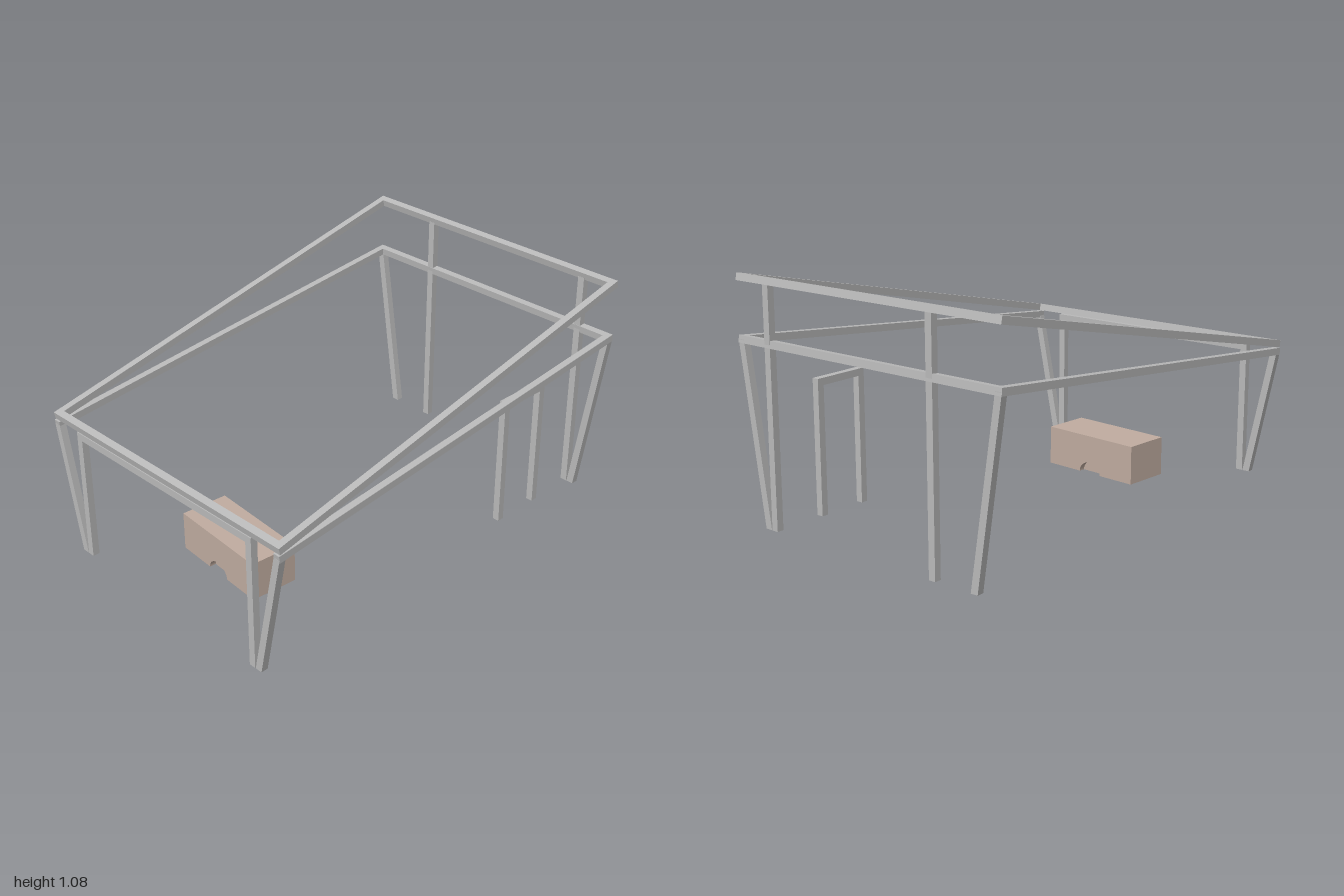
import * as THREE from 'three';

const T = 0.032; // beam thickness

export function createModel() {
  const model = new THREE.Group();
  const steel = new THREE.MeshStandardMaterial({ color: 0xb9b9b9 });
  steel.name = 'grey beam';
  const tan = new THREE.MeshStandardMaterial({ color: 0xc0aca0 });
  tan.name = 'tan box';

  const add = (name, geometry, material, parent = model) => {
    const mesh = new THREE.Mesh(geometry, material);
    mesh.name = name;
    parent.add(mesh);
    return mesh;
  };
  const outline = (pts) => new THREE.Shape(pts.map(([x, y]) => new THREE.Vector2(x, y)));
  // Extrusion centred on its own depth
  const slab = (shape, depth) =>
    new THREE.ExtrudeGeometry(shape, { depth, bevelEnabled: false, curveSegments: 16 }).translate(0, 0, -depth / 2);

  // Sloping roof frame: closed rectangle tilted up toward +x
  const W = 0.705, L = 1.02;
  const roof = outline([[-L, -W], [L, -W], [L, W], [-L, W]]);
  roof.holes.push(new THREE.Path([
    [-L + T, -W + T], [-L + T, W - T], [L - T, W - T], [L - T, -W + T],
  ].map(([x, y]) => new THREE.Vector2(x, y))));
  const roofFrame = add('roofFrame', slab(roof, T).rotateX(-Math.PI / 2), steel);
  roofFrame.position.y = 0.845;
  roofFrame.rotation.z = 0.213;

  // Lower frame: two side rails joined at the tall end only
  const l = 1.003;
  const rails = outline([[-l, -W], [l, -W], [l, W], [-l, W], [-l, W - T], [l - T, W - T], [l - T, -W + T], [-l, -W + T]]);
  const lowerFrame = add('lowerFrame', slab(rails, T).rotateX(-Math.PI / 2), steel);
  lowerFrame.position.y = 0.697;
  lowerFrame.rotation.z = 0.103;

  // Splayed corner legs, mirrored front to back
  for (const [x, h] of [[0.982, 0.8], [-0.982, 0.59]]) {
    for (const s of [1, -1]) {
      const pts = [[0.55, 0], [0.584, 0], [W, h], [W - T, h]].map(([z, y]) => [-s * z, y]);
      add('splayedLeg', slab(outline(pts), T).rotateY(Math.PI / 2), steel).position.x = x;
    }
  }

  // Tall upright posts at the high end
  for (const z of [0.531, -0.355]) {
    add('tallPost', new THREE.BoxGeometry(T, 1.046, T), steel).position.set(0.982, 0.523, z);
  }

  // Two posts with a lintel
  const portal = (w, h) => slab(outline([
    [-w, 0], [-w + T, 0], [-w + T, h - T], [w - T, h - T], [w - T, 0], [w, 0], [w, h], [-w, h],
  ]), T);
  add('lowEndFrame', portal(0.547, 0.614).rotateY(Math.PI / 2), steel).position.x = -0.982;
  add('doorFrame', portal(0.135, 0.609), steel).position.set(0.609, 0, 0.529);

  // Box with a shallow arched recess in each long side
  const box = new THREE.Group();
  box.name = 'box';
  box.position.set(-0.58, 0, -0.027);
  box.rotation.y = -0.08;
  model.add(box);
  const H = 0.18, D = 0.249, depth = 0.03, width = 0.222;
  add('boxCore', new THREE.BoxGeometry(width - 2 * depth, H, 2 * D), tan, box).position.y = H / 2;
  const side = new THREE.Shape();
  side.moveTo(-D, 0);
  side.lineTo(-0.062, 0);
  side.absellipse(0, 0, 0.062, 0.052, Math.PI, 0, true);
  side.lineTo(D, 0);
  side.lineTo(D, H);
  side.lineTo(-D, H);
  for (const s of [1, -1]) {
    add('archedSide', slab(side, depth).rotateY(Math.PI / 2), tan, box).position.x = s * (width - depth) / 2;
  }
  return model;
}
